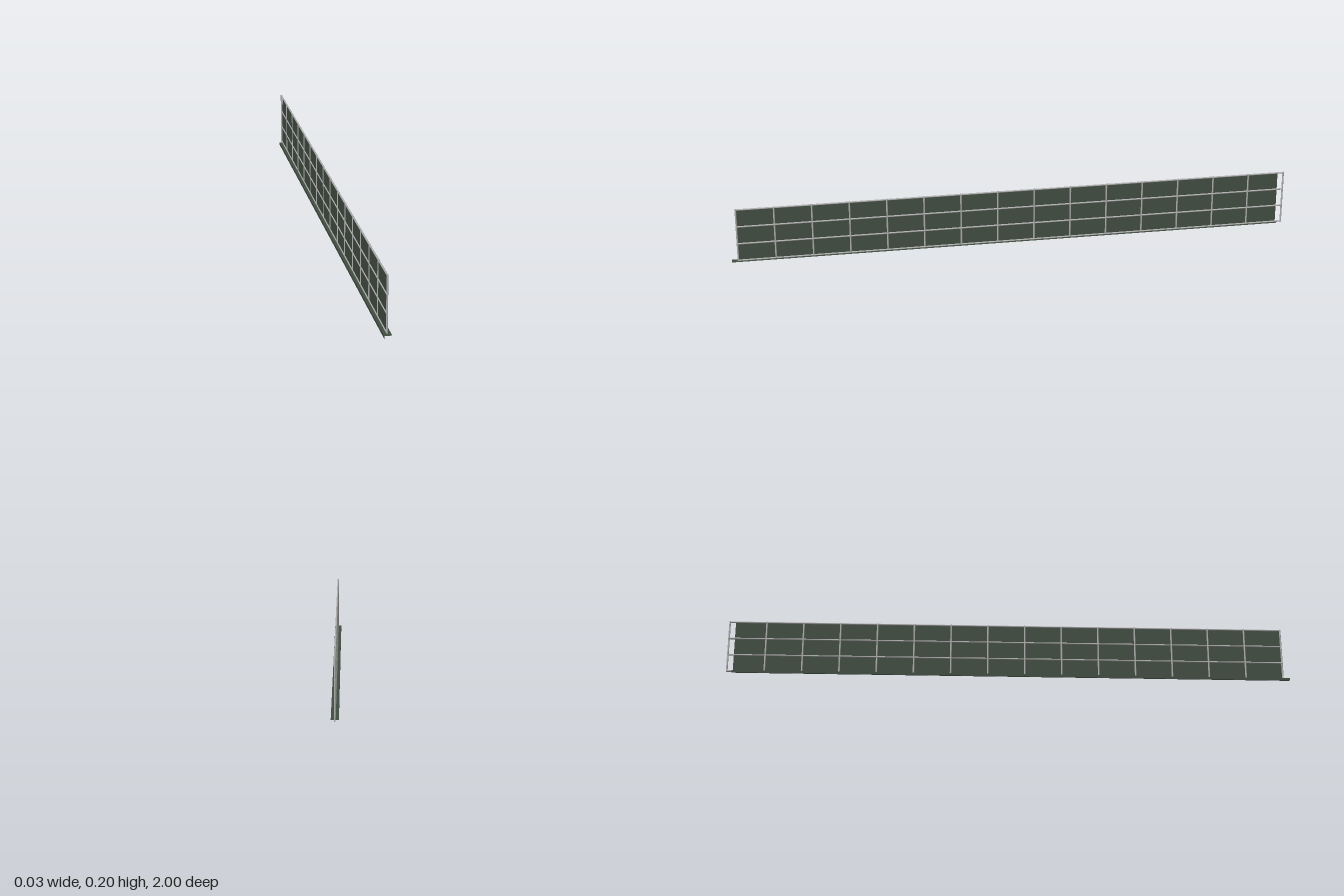
import * as THREE from 'three';

export function createModel() {
  const group = new THREE.Group();
  const metal = new THREE.MeshStandardMaterial({ color: 0xb0b0b0 });
  metal.name = 'light grey metal';
  const green = new THREE.MeshStandardMaterial({ color: 0x424e42, side: THREE.DoubleSide });
  green.name = 'dark green sheet';

  const add = (name, geometry, material, x, y, z) => {
    const mesh = new THREE.Mesh(geometry, material);
    mesh.name = name;
    mesh.position.set(x, y, z);
    group.add(mesh);
  };

  const radius = 0.003, bottom = 0.008, top = 0.205;
  const back = -0.997, front = 0.977, bays = 15;

  // Round upright posts
  const post = new THREE.CylinderGeometry(radius, radius, top - bottom, 10);
  for (let i = 0; i <= bays; i++) {
    const z = back + ((front - back) * i) / bays;
    add('post', post, metal, 0, (top + bottom) / 2, z);
  }

  // Round horizontal rails along the whole length, the lowest at the foot
  const rail = new THREE.CylinderGeometry(radius, radius, front - back + 2 * radius, 10);
  rail.rotateX(Math.PI / 2);
  for (const y of [0.011, 0.074, 0.138, 0.202]) {
    add('rail', rail, metal, 0, y, (front + back) / 2);
  }

  // Thin infill sheet in the plane of the posts
  const sheet = new THREE.PlaneGeometry(1.956, 0.195);
  sheet.rotateY(Math.PI / 2);
  add('panel', sheet, green, 0, 0.1055, 0.002);

  // Angle strip under the posts: a flat plate with a lip turned down on the right
  const plate = new THREE.PlaneGeometry(0.025, 1.978);
  plate.rotateX(-Math.PI / 2);
  add('footPlate', plate, green, 0, 0.01, 0.011);
  const lip = new THREE.PlaneGeometry(1.978, 0.01);
  lip.rotateY(-Math.PI / 2);
  add('footLip', lip, green, -0.0125, 0.005, 0.011);

  return group;
}
